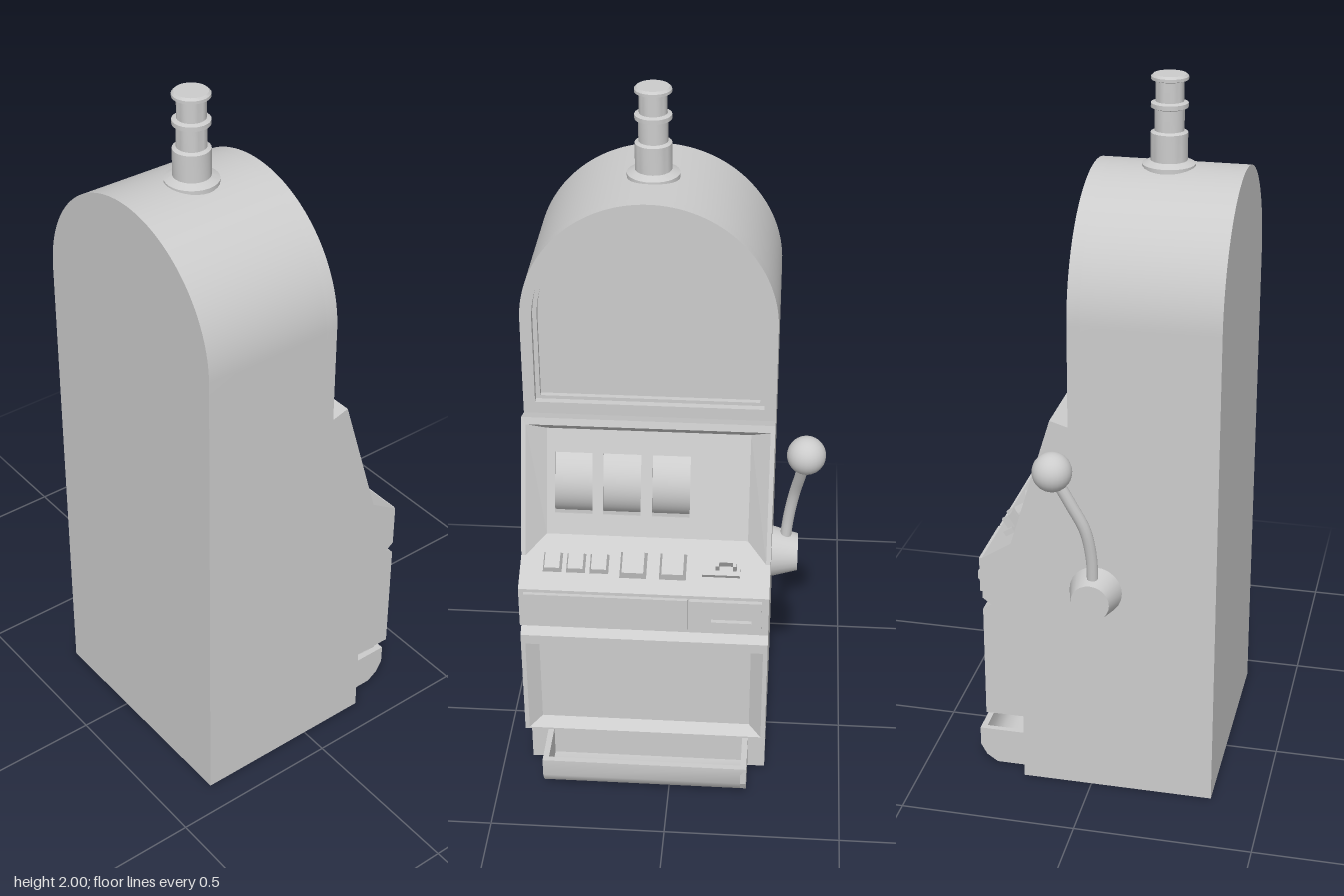
import * as THREE from 'three';
import { toCreasedNormals } from 'three/addons/utils/BufferGeometryUtils.js';

const grey = new THREE.MeshStandardMaterial({ color: 0xcccccc });
const greyDouble = new THREE.MeshStandardMaterial({ color: 0xcccccc, side: THREE.DoubleSide });
const W = 0.3475; // half width of the cabinet

function add(parent, name, geometry, x = 0, y = 0, z = 0, material = grey) {
  const mesh = new THREE.Mesh(geometry, material);
  mesh.name = name;
  mesh.position.set(x, y, z);
  parent.add(mesh);
  return mesh;
}

// Flat quads, each given as four corners
function quads(list) {
  const pos = [];
  for (const [a, b, c, d] of list) pos.push(...a, ...b, ...c, ...a, ...c, ...d);
  const g = new THREE.BufferGeometry();
  g.setAttribute('position', new THREE.Float32BufferAttribute(pos, 3));
  g.computeVertexNormals();
  return g;
}

// Rectangle across the cabinet between a lower and an upper profile point
const ring = ([x0, y0], [x1, y1], w) => [[x0, y0, w], [x0, y0, -w], [x1, y1, -w], [x1, y1, w]];

// Nested rectangles joined into frame and recess walls
function recess(rings) {
  const list = [];
  for (let i = 0; i + 1 < rings.length; i++)
    for (let k = 0; k < 4; k++) {
      const n = (k + 1) % 4;
      list.push([rings[i][k], rings[i][n], rings[i + 1][n], rings[i + 1][k]]);
    }
  return list;
}

const polygon = (pts) => new THREE.Shape(pts.map(([x, y]) => new THREE.Vector2(x, y)));

function extrude(shape, depth) {
  return new THREE.ExtrudeGeometry(shape, { depth, bevelEnabled: false, curveSegments: 32 });
}

// Box whose top is inset by t
function taperedBox(w, h, d, t) {
  const g = new THREE.BoxGeometry(w, h, d);
  const p = g.attributes.position;
  for (let i = 0; i < p.count; i++)
    if (p.getY(i) > 0) {
      p.setX(i, p.getX(i) - Math.sign(p.getX(i)) * t);
      p.setZ(i, p.getZ(i) - Math.sign(p.getZ(i)) * t);
    }
  g.computeVertexNormals();
  return g;
}

function arch(r, bottom, PathType = THREE.Shape) {
  const s = new PathType();
  s.moveTo(-r, bottom);
  s.lineTo(r, bottom);
  s.lineTo(r, 1.4075);
  s.absarc(0, 1.4075, r, 0, Math.PI, false);
  s.lineTo(-r, bottom);
  return s;
}

function addCabinet(g) {
  const profile = [[-0.35, 1.12], [-0.35, 0], [0.2, 0], [0.2, 0.2], [0.31, 0.2], [0.31, 0.54],
    [0.285, 0.557], [0.31, 0.575], [0.31, 0.7], [0.225, 0.755], [0.11, 1.135], [0.06, 1.12]];
  // Side walls
  for (const s of [-1, 1])
    add(g, 'sideWall', new THREE.ShapeGeometry(polygon(profile)), 0, 0, s * W, greyDouble);

  // Plain faces follow the profile; the lower door and the screen are recessed
  const list = [];
  profile.slice(0, -1).forEach((p, i) => {
    if (i !== 4 && i !== 8 && i !== 9) list.push(ring(p, profile[i + 1], W));
  });
  add(g, 'cabinetShell', quads(list), 0, 0, 0, greyDouble);

  const door = [ring([0.31, 0.2], [0.31, 0.54], W), ring([0.31, 0.205], [0.31, 0.51], 0.335),
    ring([0.278, 0.225], [0.278, 0.495], 0.3)];
  add(g, 'lowerDoor', quads([...recess(door), door[2]]), 0, 0, 0, greyDouble);

  const screen = [ring([0.225, 0.755], [0.11, 1.135], W), ring([0.225, 0.755], [0.115, 1.115], 0.335),
    ring([0.165, 0.79], [0.08, 1.085], 0.282)];
  add(g, 'screenSurround', quads(recess(screen)), 0, 0, 0, greyDouble);
  add(g, 'buttonDeck', quads([ring([0.31, 0.7], [0.225, 0.755], W)]), 0, 0, 0, greyDouble);

  // Arched top with a recessed sign panel
  const top = add(g, 'archedTop', toCreasedNormals(extrude(arch(W, 1.12), 0.375), 0.5), -0.35);
  const outer = arch(W, 1.12), inner = arch(0.315, 1.155);
  outer.holes.push(arch(0.315, 1.155, THREE.Path));
  inner.holes.push(arch(0.303, 1.165, THREE.Path));
  const rim = add(g, 'archRim', toCreasedNormals(extrude(outer, 0.035), 0.5), 0.025);
  const lip = add(g, 'signLip', toCreasedNormals(extrude(inner, 0.015), 0.5), 0.025);
  for (const m of [top, rim, lip]) m.rotation.y = Math.PI / 2;
}

function addReels(g) {
  const panel = new THREE.Group();
  panel.name = 'reelPanel';
  panel.position.set(0.165, 0.79, 0);
  panel.rotation.set(0, Math.PI / 2, 0.28, 'ZYX');
  g.add(panel);
  const plate = polygon([[-0.282, 0], [0.282, 0], [0.282, 0.307], [-0.282, 0.307]]);
  for (const x of [-0.207, -0.072, 0.065]) {
    const hole = new THREE.Path();
    hole.setFromPoints([[-1, 0.062], [-1, 0.239], [1, 0.239], [1, 0.062]]
      .map(([s, y]) => new THREE.Vector2(x + s * 0.0525, y)));
    plate.holes.push(hole);
    const reel = add(panel, 'reel', new THREE.CylinderGeometry(0.11, 0.11, 0.118, 40), x, 0.15, -0.118);
    reel.rotation.z = Math.PI / 2;
  }
  add(panel, 'reelPlate', extrude(plate, 0.006), 0, 0, -0.006);
}

function addControls(g) {
  const deck = new THREE.Group();
  deck.name = 'deckControls';
  deck.position.set(0.24, 0.745, 0);
  deck.rotation.z = -Math.atan2(0.055, 0.085);
  g.add(deck);
  for (const z of [-0.078, 0.032]) add(deck, 'largeButton', taperedBox(0.078, 0.024, 0.076, 0.008), 0, 0.01, z);
  for (const z of [0.127, 0.192, 0.257]) add(deck, 'smallButton', taperedBox(0.058, 0.02, 0.054, 0.006), 0, 0.008, z);
  // Coin entry
  add(deck, 'coinPlate', new THREE.BoxGeometry(0.03, 0.016, 0.105), 0.01, 0.008, -0.212);
  for (const z of [-0.25, -0.202]) add(deck, 'coinGuide', new THREE.BoxGeometry(0.022, 0.036, 0.01), 0, 0.03, z);
  add(deck, 'coinGuideBack', new THREE.BoxGeometry(0.008, 0.03, 0.05), -0.006, 0.03, -0.226);

  // Front band and payout slot
  add(g, 'frontBand', new THREE.BoxGeometry(0.02, 0.105, 0.455), 0.311, 0.638, 0.105);
  add(g, 'slotPlate', new THREE.BoxGeometry(0.023, 0.105, 0.2), 0.3115, 0.638, -0.228);
  add(g, 'ticketSlot', new THREE.BoxGeometry(0.02, 0.024, 0.112), 0.326, 0.62, -0.245);
}

function addTray(g) {
  const outline = [[0.2, 0], [0.295, 0], [0.327, 0.022], [0.345, 0.055], [0.345, 0.11]];
  const trough = polygon([...outline, [0.328, 0.11], [0.328, 0.06], [0.31, 0.034], [0.285, 0.018], [0.2, 0.018]]);
  add(g, 'trayTrough', toCreasedNormals(extrude(trough, 0.594), 0.7), 0, 0, -0.297);
  for (const z of [-0.297, 0.28])
    add(g, 'trayEnd', extrude(polygon([...outline, [0.2, 0.11]]), 0.017), 0, 0, z);
}

function addLever(g) {
  const lever = new THREE.Group();
  lever.name = 'lever';
  g.add(lever);
  const boss = add(lever, 'leverBoss', toCreasedNormals(new THREE.CylinderGeometry(0.054, 0.074, 0.075, 24), 0.6),
    -0.015, 0.635, -0.385);
  boss.rotation.x = -Math.PI / 2;
  const path = new THREE.CatmullRomCurve3([[-0.015, 0.66, -0.383], [-0.014, 0.76, -0.393],
    [0.0, 0.85, -0.407], [0.035, 0.93, -0.421], [0.08, 1.02, -0.433]].map((p) => new THREE.Vector3(...p)));
  add(lever, 'leverArm', new THREE.TubeGeometry(path, 20, 0.016, 12));
  add(lever, 'leverKnob', new THREE.SphereGeometry(0.054, 24, 16), 0.082, 1.028, -0.435);
}

function addBeacon(g) {
  const pts = [[0, 1.745], [0.072, 1.745], [0.072, 1.76], [0.05, 1.77], [0.05, 1.845], [0.04, 1.85],
    [0.04, 1.908], [0.05, 1.912], [0.05, 1.924], [0.038, 1.928], [0.038, 1.982], [0.05, 1.986],
    [0.05, 1.994], [0.044, 2], [0, 2]].map(([x, y]) => new THREE.Vector2(x, y));
  add(g, 'beacon', toCreasedNormals(new THREE.LatheGeometry(pts, 28), 0.5), -0.14);
}

export function createModel() {
  const model = new THREE.Group();
  model.name = 'slotMachine';
  const g = new THREE.Group();
  g.name = 'machine';
  g.position.z = 0.07; // the lever sticks out on one side
  model.add(g);
  addCabinet(g);
  addReels(g);
  addControls(g);
  addTray(g);
  addLever(g);
  addBeacon(g);
  return model;
}
